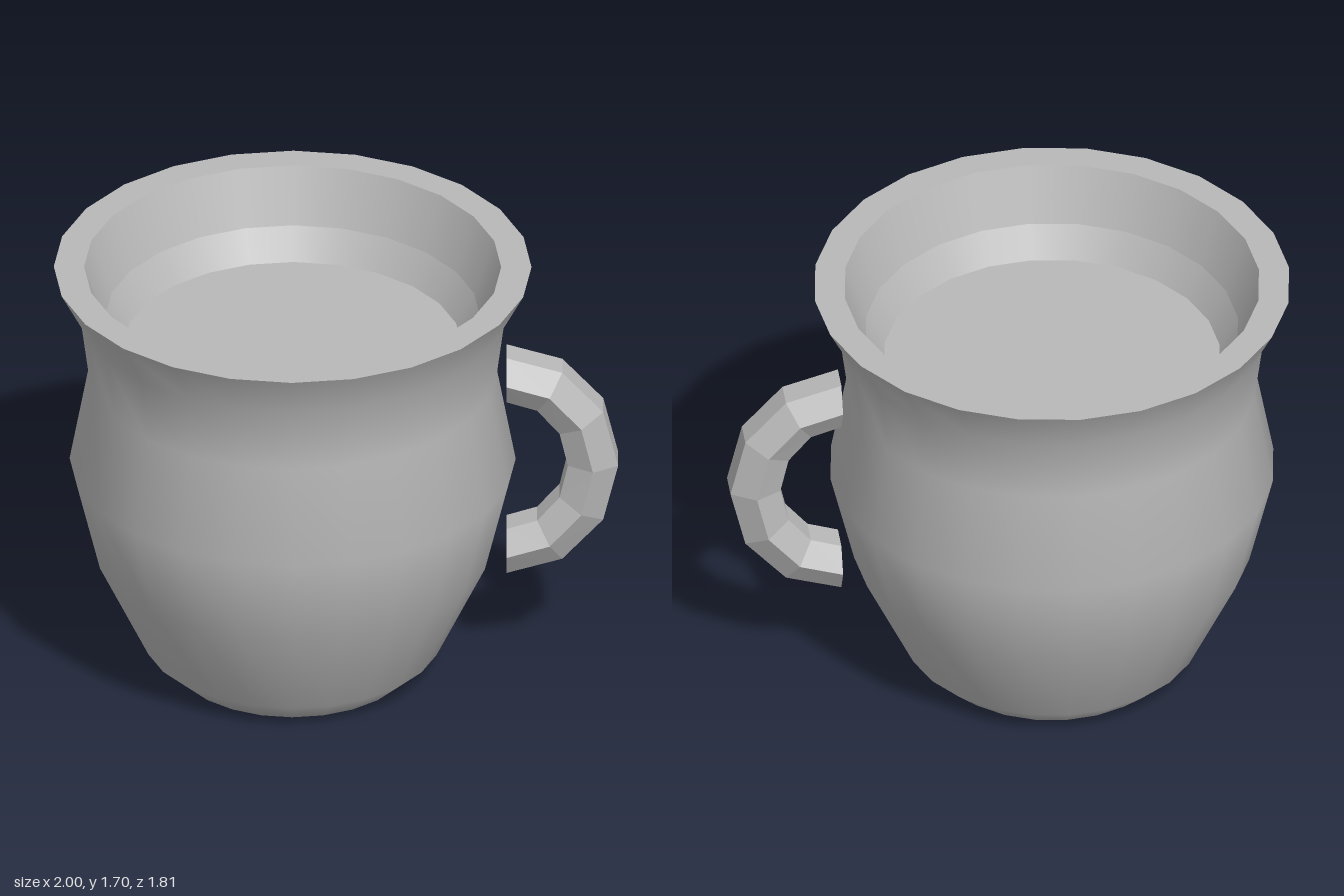
import * as THREE from 'three';

const SIDES = 24;

export function createModel() {
  const clay = new THREE.MeshStandardMaterial({ color: 0xb8b8b8 });
  clay.name = 'grey clay';
  const clayFlat = clay.clone();
  clayFlat.flatShading = true;

  const model = new THREE.Group();
  model.name = 'mug';

  // Everything turns around the mug's own axis, left of the origin
  const axis = new THREE.Group();
  axis.name = 'mugAxis';
  axis.position.x = -0.1;
  model.add(axis);

  // Each lathe is smooth in itself; edges between lathes stay sharp
  const addLathe = (name, profile) => {
    const points = profile.map(([r, y]) => new THREE.Vector2(r, y));
    const mesh = new THREE.Mesh(new THREE.LatheGeometry(points, SIDES), clay);
    mesh.name = name;
    axis.add(mesh);
  };

  addLathe('outerWall', [
    [0, 0], [0.455, 0], [0.565, 0.1], [0.755, 0.5], [0.845, 0.87],
    [0.775, 1.25], [0.81, 1.52], [0.905, 1.7],
  ]);
  addLathe('rim', [[0.905, 1.7], [0.79, 1.7]]);
  addLathe('innerWallUpper', [[0.79, 1.7], [0.71, 1.485]]);
  addLathe('innerWallLower', [[0.71, 1.485], [0.64, 1.365]]);
  addLathe('innerFloor', [[0.64, 1.365], [0, 1.365]]);

  // Handle points out to the back left
  const handle = new THREE.Mesh(handleGeometry(), clayFlat);
  handle.name = 'handle';
  handle.rotation.y = Math.PI / 6;
  axis.add(handle);

  return model;
}

// Hexagonal section swept along half an ellipse, with closed ends
function handleGeometry() {
  const steps = 6, n = 6, radius = 0.11;
  const positions = [], index = [];
  for (let i = 0; i <= steps; i++) {
    const a = -Math.PI / 2 + (Math.PI * i) / steps;
    for (let j = 0; j < n; j++) {
      const b = (2 * Math.PI * j) / n;
      const out = radius * Math.sin(b);
      positions.push(
        0.81 + (0.328 + out) * Math.cos(a),
        0.87 + (0.37 + out) * Math.sin(a),
        radius * Math.cos(b),
      );
    }
  }
  for (let i = 0; i < steps; i++) {
    for (let j = 0; j < n; j++) {
      const p = i * n + j, q = i * n + ((j + 1) % n);
      index.push(p, q, q + n, p, q + n, p + n);
    }
  }
  const end = steps * n;
  for (let j = 1; j < n - 1; j++) {
    index.push(0, j + 1, j);
    index.push(end, end + j, end + j + 1);
  }
  const geometry = new THREE.BufferGeometry();
  geometry.setAttribute('position', new THREE.Float32BufferAttribute(positions, 3));
  geometry.setIndex(index);
  const flat = geometry.toNonIndexed();
  flat.computeVertexNormals();
  return flat;
}
